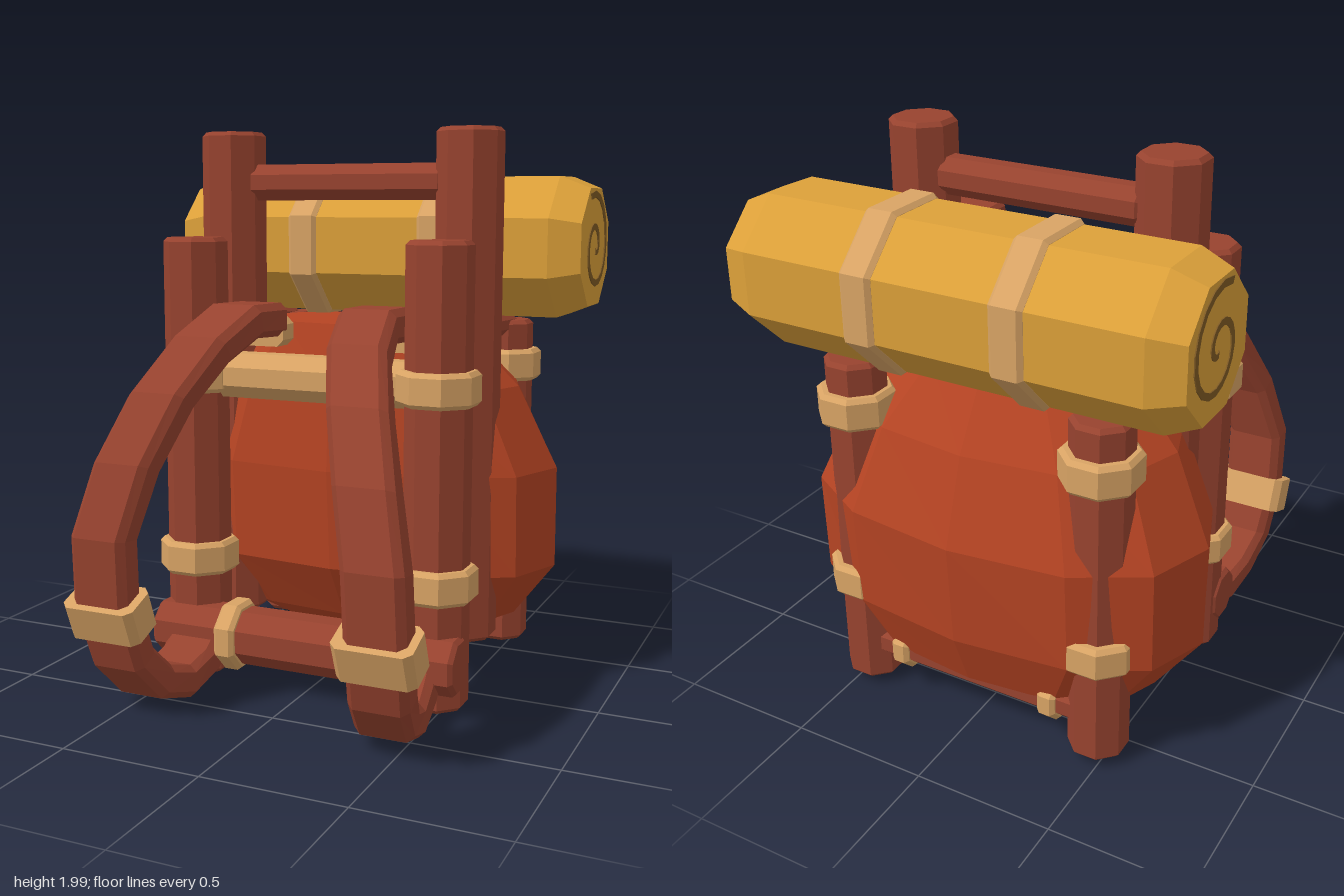
import * as THREE from 'three';

const mat = (name, color) => {
  const m = new THREE.MeshStandardMaterial({ color });
  m.name = name;
  return m;
};

export function createModel() {
  const root = new THREE.Group();
  root.name = 'backpack';
  const wood = mat('red brown frame', 0x98432f);
  const cloth = mat('rust cloth', 0xb64423);
  const tan = mat('tan binding', 0xd9a465);
  const ochre = mat('ochre bedroll', 0xdca039);
  const dark = mat('dark spiral', 0x7f5a24);

  // Adds a mesh with faceted normals
  const add = (name, geo, material, x = 0, y = 0, z = 0) => {
    const flat = geo.index ? geo.toNonIndexed() : geo;
    flat.computeVertexNormals();
    const mesh = new THREE.Mesh(flat, material);
    mesh.name = name;
    mesh.position.set(x, y, z);
    root.add(mesh);
    return mesh;
  };

  // Octagonal rod with bevelled ends; a is the half width across flats
  const rod = (a, length, bevel = 0.015, inset = bevel) => {
    const r = a / Math.cos(Math.PI / 8), h = length / 2, q = r - inset;
    const pts = [[0, -h], [q, -h], [r, -h + bevel], [r, h - bevel], [q, h], [0, h]];
    return new THREE.LatheGeometry(pts.map(p => new THREE.Vector2(...p)), 8).rotateY(Math.PI / 8);
  };
  const post = (name, m, a, y0, y1, x, z) => add(name, rod(a, y1 - y0), m, x, (y0 + y1) / 2, z);
  const bar = (name, m, a, x0, x1, y, z) =>
    add(name, rod(a, x1 - x0).rotateZ(-Math.PI / 2), m, (x0 + x1) / 2, y, z);

  // Closed skin over a list of equal rings, capped at both ends
  const loft = rings => {
    const n = rings[0].length, pos = [];
    const tri = (...ps) => ps.forEach(p => pos.push(p.x, p.y, p.z));
    const centre = ring => ring.reduce((s, p) => s.add(p), new THREE.Vector3()).divideScalar(n);
    const last = rings[rings.length - 1], c0 = centre(rings[0]), c1 = centre(last);
    for (let j = 0; j < n; j++) {
      const k = (j + 1) % n;
      tri(c0, rings[0][k], rings[0][j]);
      tri(c1, last[j], last[k]);
      for (let i = 0; i < rings.length - 1; i++) {
        const a = rings[i], b = rings[i + 1];
        tri(a[j], a[k], b[j]);
        tri(b[k], b[j], a[k]);
      }
    }
    const g = new THREE.BufferGeometry();
    g.setAttribute('position', new THREE.Float32BufferAttribute(pos, 3));
    return g;
  };

  // Bag: rings of [height, half width, front z, back z]
  const soft = v => Math.sign(v) * Math.pow(Math.abs(v), 0.85);
  const bagRings = [
    [0.10, 0.35, -0.24, -0.56], [0.20, 0.58, -0.10, -0.68], [0.41, 0.74, 0.03, -0.76],
    [0.78, 0.74, 0.06, -0.78], [1.08, 0.60, 0.04, -0.68], [1.31, 0.38, -0.01, -0.54],
  ].map(([y, rx, zf, zb]) => Array.from({ length: 12 }, (_, j) => {
    const t = j * Math.PI / 6;
    return new THREE.Vector3(rx * soft(Math.sin(t)), y,
      (zf + zb) / 2 + (zf - zb) / 2 * soft(Math.cos(t)));
  }));
  add('bag', loft(bagRings), cloth);

  // Cross bars
  bar('topBar', wood, 0.065, -0.38, 0.38, 1.815, -0.135);
  bar('frontBinding', tan, 0.08, -0.38, 0.38, 1.13, 0.14);
  bar('frontLowerBar', wood, 0.097, -0.58, 0.58, 0.19, 0.235);
  bar('backLowerBar', wood, 0.065, -0.42, 0.42, 0.19, -0.59);

  // Bedroll with tapered ends
  bar('bedrollCore', ochre, 0.2, -0.7, 0.7, 1.58, -0.555);
  add('bedroll', rod(0.257, 1.62, 0.11, 0.047).rotateZ(-Math.PI / 2), ochre, 0, 1.58, -0.555);

  // Spiral ribbon for a bedroll end
  const spiral = s => {
    const edge = off => Array.from({ length: 29 }, (_, i) => {
      const deg = i * 20, r = Math.max(0.2 - 0.00033 * deg, 0.012) + off;
      const t = (114 - deg) * Math.PI / 180;
      return new THREE.Vector2(s * r * Math.cos(t), r * Math.sin(t));
    });
    const shape = new THREE.Shape([...edge(0.012), ...edge(-0.012).reverse()]);
    return new THREE.ExtrudeGeometry(shape, { depth: 0.005, bevelEnabled: false });
  };

  // Strap centre line as [x, y, z], from the top end round to the lower bar
  const path = [
    [0.24, 1.33, 0.10], [0.25, 1.335, 0.27], [0.29, 1.25, 0.44], [0.36, 1.09, 0.59],
    [0.43, 0.88, 0.70], [0.485, 0.65, 0.76], [0.49, 0.42, 0.745], [0.475, 0.22, 0.68],
    [0.45, 0.11, 0.58], [0.43, 0.07, 0.45], [0.415, 0.11, 0.33], [0.41, 0.18, 0.25],
  ];
  // Chamfered rectangular sections swept along a path
  const sweep = (pts, s, w, h, c = 0.025) => loft(pts.map((p, i) => {
    const a = pts[Math.max(i - 1, 0)], b = pts[Math.min(i + 1, pts.length - 1)];
    const len = Math.hypot(b[1] - a[1], b[2] - a[2]);
    const ty = (b[1] - a[1]) / len, tz = (b[2] - a[2]) / len;
    return [[h, -w + c], [h, w - c], [h - c, w], [c - h, w], [-h, w - c], [-h, c - w], [c - h, -w], [h - c, -w]]
      .map(([u, v]) => new THREE.Vector3(s * p[0] + v, p[1] - tz * u, p[2] + ty * u));
  }));

  for (const s of [1, -1]) {
    const x = 0.465 * s;
    // Uprights
    post('frontPost', wood, 0.107, 0.02, 1.62, x, 0.168);
    post('tallPost', wood, 0.11, 0.18, 2.0, x, -0.13);
    post('backPost', wood, 0.098, 0.04, 1.3, x, -0.59);
    // Bindings on the uprights
    for (const y of [1.13, 0.46]) {
      post('frontCollar', tan, 0.134, y - 0.06, y + 0.06, x, 0.17);
      post('backCollar', tan, 0.127, y - 0.06, y + 0.06, x, -0.593);
    }
    // Side rail from tall post to back post
    const rail = add('sideRail', rod(0.042, 0.5), wood, x, 1.29, -0.36);
    rail.rotation.x = Math.PI / 2 - 0.03;
    // Bindings on the lower bars
    bar('frontBarCollar', tan, 0.12, s * 0.275 - 0.04, s * 0.275 + 0.04, 0.19, 0.235);
    bar('backBarCollar', tan, 0.085, s * 0.3 - 0.035, s * 0.3 + 0.035, 0.19, -0.59);
    // Shoulder strap, its buckle and its top fastening
    add('shoulderStrap', sweep(path, s, 0.105, 0.06), wood);
    add('strapBuckle', sweep([[0.487, 0.445, 0.757], [0.487, 0.325, 0.71]], s, 0.135, 0.077), tan);
    add('strapFastening', sweep([[0.245, 1.285, 0.035], [0.245, 1.285, 0.12]], s, 0.105, 0.052), tan);
    // Bedroll ties and end spirals
    bar('bedrollTie', tan, 0.272, s * 0.263 - 0.058, s * 0.263 + 0.058, 1.58, -0.555);
    add('bedrollSpiral', spiral(s), dark, s * 0.809, 1.58, -0.555).rotation.y = s * Math.PI / 2;
  }
  return root;
}
